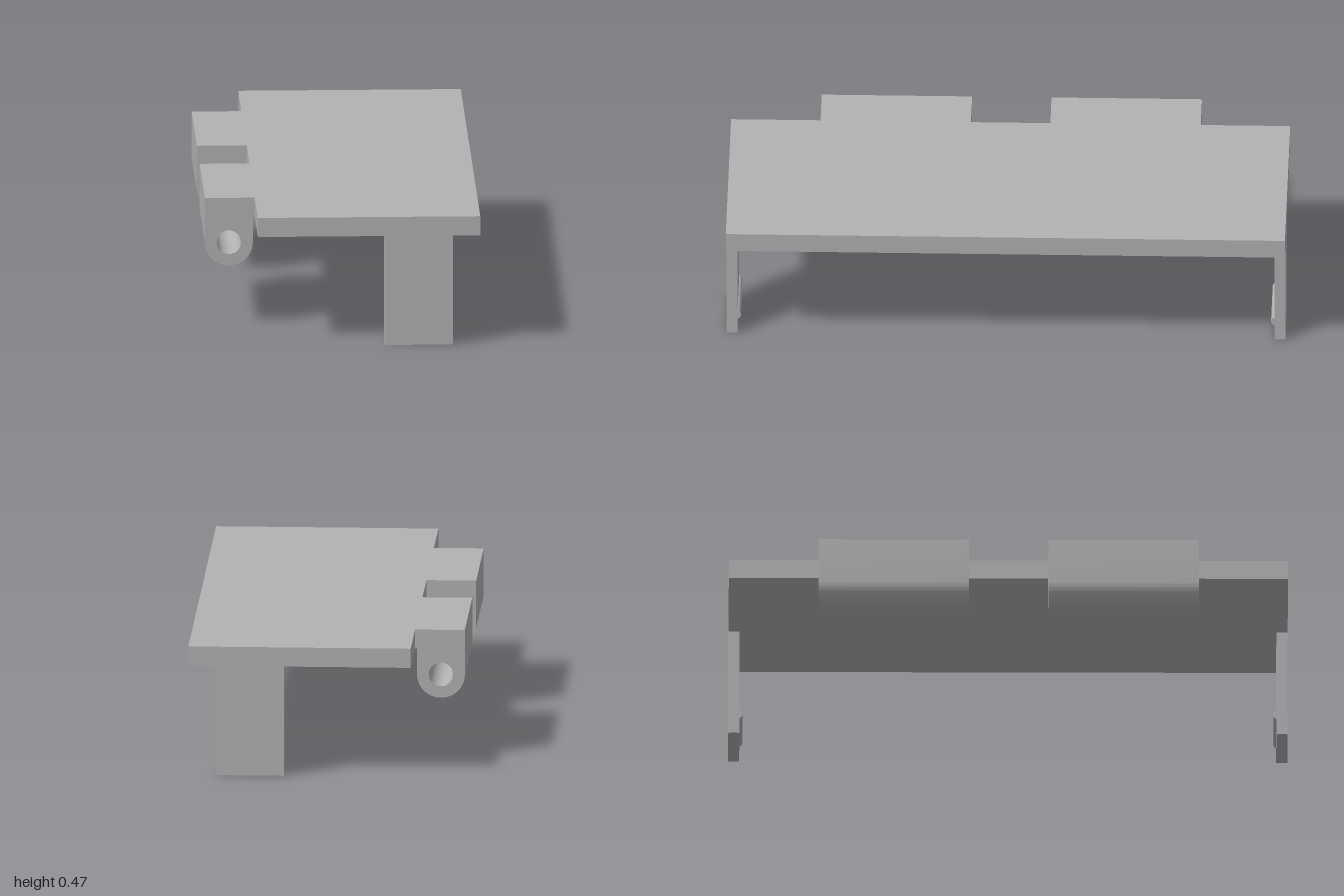
import * as THREE from 'three';
import { toCreasedNormals } from 'three/addons/utils/BufferGeometryUtils.js';

export function createModel() {
  const group = new THREE.Group();
  const grey = new THREE.MeshStandardMaterial({ color: 0xb2b2b2 });
  grey.name = 'grey plastic';

  const add = (name, geometry, x = 0, y = 0, z = 0) => {
    const mesh = new THREE.Mesh(geometry, grey);
    mesh.name = name;
    mesh.position.set(x, y, z);
    group.add(mesh);
    return mesh;
  };

  // Flat cover plate
  const left = -0.31, right = 0.486, top = 0.47, under = 0.4;
  add('coverPlate', new THREE.BoxGeometry(right - left, top - under, 2),
    (left + right) / 2, (top + under) / 2, 0);

  // Hinge knuckle profile: round bottom, pin hole, lip meeting the plate
  const cx = -0.4025, cy = 0.307, r = 0.0855;
  const profile = new THREE.Shape();
  profile.moveTo(left, top);
  profile.lineTo(cx - r, top);
  profile.lineTo(cx - r, cy);
  profile.absarc(cx, cy, r, Math.PI, Math.PI * 2, false);
  profile.lineTo(cx + r, under);
  profile.lineTo(left, under);
  profile.closePath();
  const hole = new THREE.Path();
  hole.absarc(cx, cy, 0.0435, 0, Math.PI * 2, true);
  profile.holes.push(hole);
  const length = 0.538;
  const knuckle = toCreasedNormals(
    new THREE.ExtrudeGeometry(profile, { depth: length, bevelEnabled: false, curveSegments: 24 }), 0.5);

  // Clip leg and the snap bead on its inner face
  const legX = 0.2655, legWidth = 0.245, legThickness = 0.04;
  const leg = new THREE.BoxGeometry(legWidth, under, legThickness);
  const bead = new THREE.CylinderGeometry(0.018, 0.018, legWidth, 24);

  for (const [side, s] of [['front', 1], ['back', -1]]) {
    add(side + 'HingeKnuckle', knuckle, 0, 0, s * 0.411 - length / 2);
    add(side + 'ClipLeg', leg, legX, under / 2, s * (1 - legThickness / 2));
    add(side + 'SnapBead', bead, legX, 0.075, s * 0.966).rotation.z = Math.PI / 2;
  }
  return group;
}
